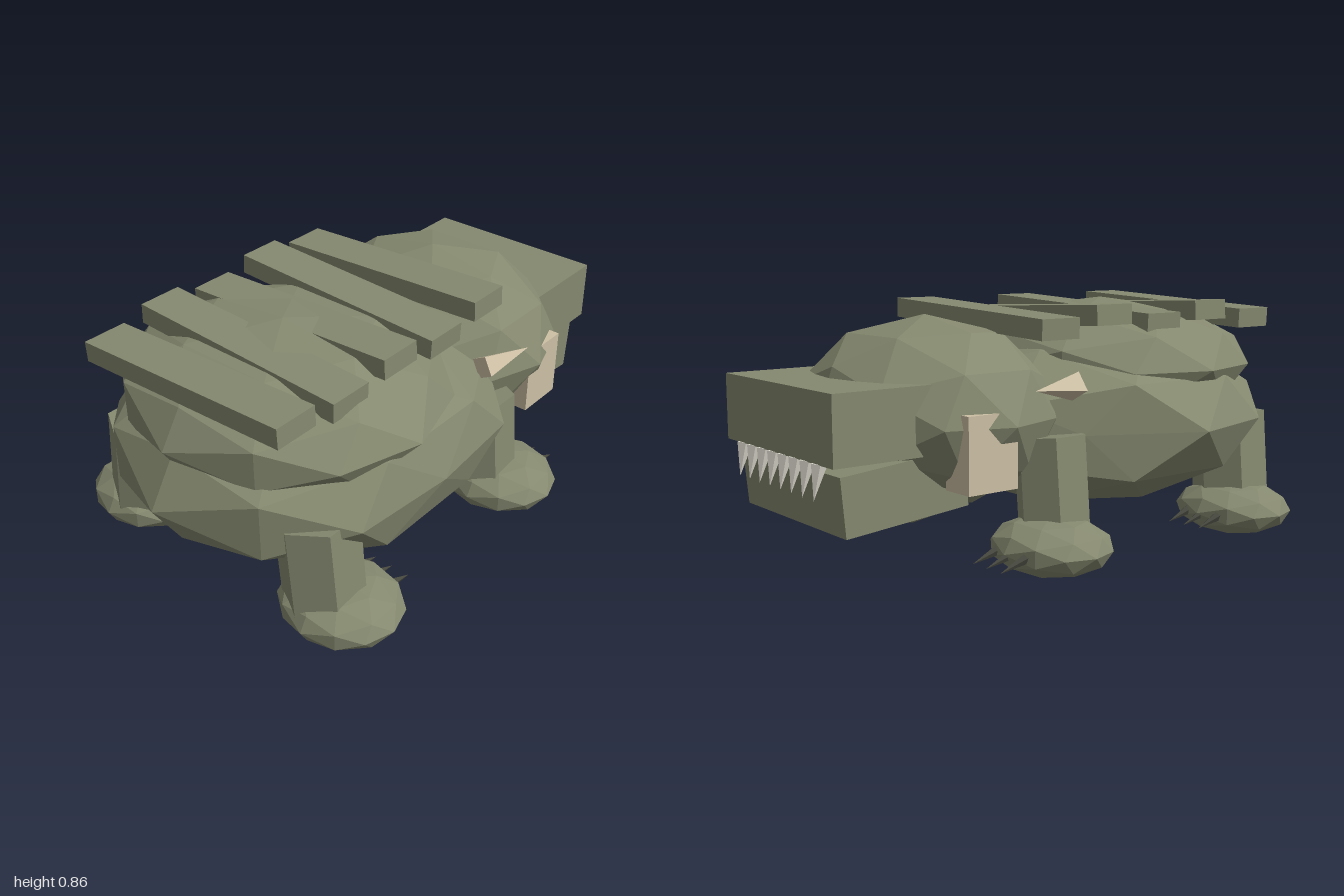
import * as THREE from 'three';

const mat = (color) => new THREE.MeshStandardMaterial({ color, flatShading: true });

export function createModel() {
  const root = new THREE.Group();
  const hide = mat(0x85896f), bone = mat(0xcdc0a5), ivory = mat(0xdedbd0), dark = mat(0x46473d);

  const add = (name, geo, material, x, y, z) => {
    const m = new THREE.Mesh(geo, material);
    m.name = name;
    m.position.set(x, y, z);
    root.add(m);
    return m;
  };

  // Faceted ellipsoid; warp may nudge the unit-sphere vertices
  const blob = (name, rx, ry, rz, x, y, z, warp) => {
    const geo = new THREE.IcosahedronGeometry(1, 1);
    const p = geo.attributes.position, v = new THREE.Vector3();
    for (let i = 0; i < p.count; i++) {
      v.fromBufferAttribute(p, i);
      if (warp) warp(v);
      p.setXYZ(i, v.x * rx, v.y * ry, v.z * rz);
    }
    geo.computeVertexNormals();
    return add(name, geo, hide, x, y, z);
  };

  // Cone running from a base point to a tip point
  const spike = (name, material, radius, sides, from, to) => {
    const a = new THREE.Vector3(...from), b = new THREE.Vector3(...to);
    const dir = b.clone().sub(a), len = dir.length();
    const mid = a.add(b).multiplyScalar(0.5);
    const m = add(name, new THREE.ConeGeometry(radius, len, sides), material, mid.x, mid.y, mid.z);
    m.quaternion.setFromUnitVectors(new THREE.Vector3(0, 1, 0), dir.normalize());
    return m;
  };

  // Torso, slightly lopsided
  blob('body', 0.66, 0.325, 0.72, 0, 0.44, 0.275, (v) => {
    if (v.x > 0.95) v.x *= 0.9;
    if (v.x < -0.8 && v.z < -0.4) v.x *= 0.82;
  });

  // Domed shell on the back
  blob('shell', 0.575, 0.235, 0.545, 0, 0.63, 0.385, (v) => {
    if (v.z > 0.7 && v.x < -0.4 && v.y > 0) v.y += 0.05;
  });

  // Slats across the shell, rocking alternately
  for (let i = 0; i < 5; i++) {
    const slat = add('backSlat', new THREE.BoxGeometry(0.84, 0.07, 0.16), hide, 0, 0.81, 0.775 - i * 0.2375);
    slat.rotation.z = i % 2 ? -0.045 : 0.045;
  }

  // Head, snout and jaw face -z
  blob('head', 0.5, 0.325, 0.42, 0, 0.505, -0.42);
  add('upperSnout', new THREE.BoxGeometry(0.695, 0.22, 0.43), hide, 0, 0.53, -0.765);
  const jaw = add('lowerJaw', new THREE.BoxGeometry(0.64, 0.19, 0.45), hide, 0, 0.312, -0.71);
  jaw.rotation.x = -0.09;

  // Row of teeth below the snout
  for (let i = 0; i < 8; i++) {
    const x = -0.245 + i * 0.07;
    spike('tooth', ivory, 0.026, 5, [x, 0.42, -0.97], [x, 0.31, -0.99]);
  }

  for (const s of [1, -1]) {
    // Cheek block and swept horn
    add('cheekBlock', new THREE.BoxGeometry(0.12, 0.245, 0.19), bone, s * 0.41, 0.428, -0.49);
    spike('horn', bone, 0.05, 4, [s * 0.44, 0.605, -0.13], [s * 0.49, 0.61, -0.34]);

    for (const [legZ, footZ, r] of [[-0.2, -0.25, 0.125], [0.673, 0.64, 0.14]]) {
      // Hexagonal leg splayed outward at the bottom
      const leg = add('leg', new THREE.CylinderGeometry(r, r, 0.34, 6), hide, s * 0.405, 0.275, legZ);
      leg.rotation.z = s * 0.09;
      // Flattened foot with three claws
      blob('foot', 0.22, 0.095, 0.195, s * 0.46, 0.098, footZ);
      for (const dx of [-0.07, 0, 0.07]) {
        const x = s * 0.46 + dx;
        spike('claw', dark, 0.02, 5, [x, 0.1, footZ - 0.15], [x, 0.065, footZ - 0.265]);
      }
    }
  }
  return root;
}
